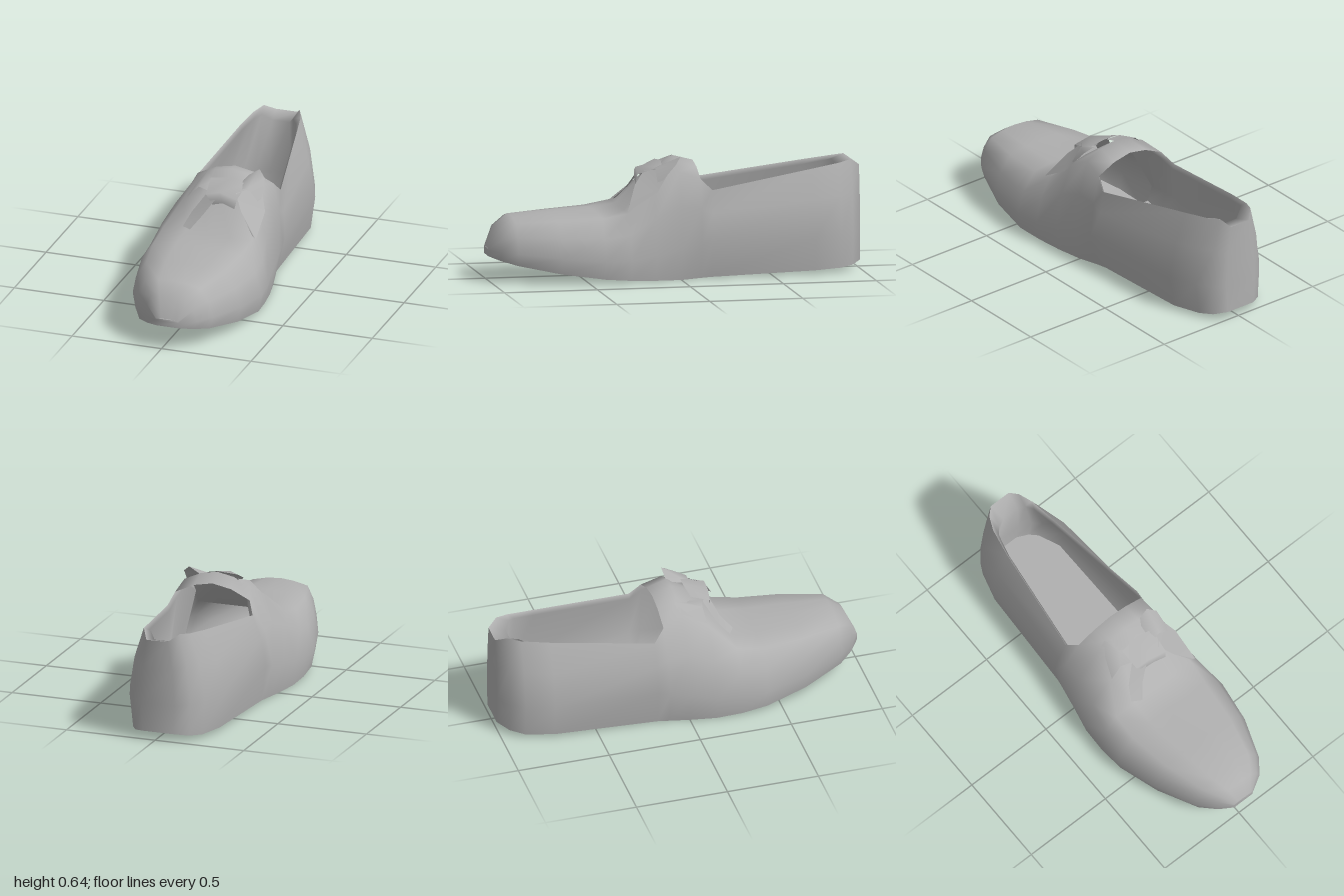
import * as THREE from 'three';
import { mergeGeometries, mergeVertices } from 'three/addons/utils/BufferGeometryUtils.js';

// Cross-sections from heel to toe:
// z, sole y, sole left/right x, widest left/right x and y, rim left/right x and y
const STATIONS = [
  [-1.0, 0.045, -0.1, 0.07, -0.11, 0.08, 0.2, -0.07, 0.05, 0.55],
  [-0.95, 0.03, -0.17, 0.13, -0.18, 0.145, 0.2, -0.12, 0.08, 0.585],
  [-0.88, 0.022, -0.22, 0.17, -0.235, 0.19, 0.2, -0.15, 0.11, 0.572],
  [-0.73, 0.02, -0.26, 0.22, -0.28, 0.245, 0.2, -0.175, 0.14, 0.55],
  [-0.17, 0.005, -0.28, 0.23, -0.305, 0.275, 0.2, -0.23, 0.25, 0.47],
  [-0.11, 0.003, -0.29, 0.24, -0.32, 0.285, 0.19, -0.19, 0.23, 0.53],
  [0.0, 0.0, -0.31, 0.27, -0.34, 0.3, 0.17, -0.15, 0.22, 0.57],
  [0.14, 0.005, -0.34, 0.3, -0.36, 0.315, 0.14, -0.18, 0.22, 0.49],
  [0.28, 0.012, -0.345, 0.32, -0.357, 0.34, 0.12, -0.25, 0.25, 0.36],
  [0.42, 0.025, -0.335, 0.335, -0.35, 0.355, 0.12, -0.25, 0.24, 0.335],
  [0.65, 0.055, -0.27, 0.3, -0.285, 0.32, 0.14, -0.21, 0.22, 0.325],
  [0.87, 0.095, -0.17, 0.22, -0.19, 0.24, 0.16, -0.14, 0.17, 0.315],
  [0.95, 0.115, -0.1, 0.16, -0.11, 0.18, 0.16, -0.08, 0.12, 0.27],
  [1.0, 0.13, -0.03, 0.09, -0.035, 0.095, 0.16, -0.03, 0.08, 0.17],
];

// Height of the top surface above the rim, along z
const CROWN = [[-0.11, 0.07], [0, 0.06], [0.14, 0.035], [0.28, 0], [0.42, 0.015], [0.87, 0.025], [1, 0.004]];
function crownAt(z) {
  for (let i = 1; i < CROWN.length; i++) {
    const [z0, c0] = CROWN[i - 1], [z1, c1] = CROWN[i];
    if (z <= z1) return THREE.MathUtils.mapLinear(z, z0, z1, c0, c1);
  }
  return 0;
}

// Surface through rows of points, optionally closed from last row to first
function grid(rows, closed = false) {
  const n = rows[0].length, index = [];
  const last = closed ? rows.length : rows.length - 1;
  for (let i = 0; i < last; i++) {
    const k = (i + 1) % rows.length;
    for (let j = 0; j < n - 1; j++) {
      const a = i * n + j, b = k * n + j;
      index.push(a, a + 1, b, b, a + 1, b + 1);
    }
  }
  const g = new THREE.BufferGeometry();
  g.setAttribute('position', new THREE.Float32BufferAttribute(rows.flat(2), 3));
  g.setIndex(index);
  return g;
}

// Outer profile of one side, sole to rim (side 0 = -x, 1 = +x)
function outerProfile(s, side) {
  const [z, ys] = s, yw = s[6], yr = s[9];
  const xs = s[2 + side], xw = s[4 + side], xr = s[7 + side];
  const mix = THREE.MathUtils.lerp;
  return [[xs, ys, z], [xw, yw, z], [mix(xw, xr, 0.34), mix(yw, yr, 0.55), z], [xr, yr, z]];
}

// Inner profile of one side, rim to insole
function innerProfile(s, side) {
  const z = s[0] < -0.8 ? s[0] * 0.55 - 0.36 : s[0];
  const k = side ? -1 : 1;
  return [
    [s[7 + side], s[9], s[0]],
    [s[7 + side] + k * 0.012, s[9] - 0.025, z],
    [s[4 + side] + k * 0.035, s[6] + 0.03, z],
    [s[2 + side] + k * 0.04, 0.09, z],
  ];
}

// Profiles in a loop: up one side to the heel and back along the other
const around = (list, profile) => [
  ...[...list].reverse().map((s) => profile(s, 0)),
  ...list.map((s) => profile(s, 1)),
];

export function createModel() {
  const leather = new THREE.MeshStandardMaterial({ color: 0xb0b0b0, side: THREE.DoubleSide });
  leather.name = 'greyLeather';
  const shoe = new THREE.Group();
  shoe.name = 'shoe';
  const add = (name, geometry) => {
    geometry.computeVertexNormals();
    const mesh = new THREE.Mesh(geometry, leather);
    mesh.name = name;
    shoe.add(mesh);
  };

  // Upper: side walls joined smoothly to the toe and tongue surface
  const walls = grid(around(STATIONS, outerProfile), true);
  const top = grid(STATIONS.filter((s) => s[0] > -0.15).map((s) =>
    [1, 0.75, 0.5, 0.25, 0].map((t) => [
      THREE.MathUtils.lerp(s[7], s[8], t),
      s[9] + crownAt(s[0]) * Math.sin(Math.PI * t),
      s[0],
    ])));
  add('upper', mergeVertices(mergeGeometries([walls, top])));

  // Sole
  add('sole', grid(STATIONS.map((s) => [[s[2], s[1], s[0]], [s[3], s[1], s[0]]])));

  // Lining and insole
  const inside = STATIONS.filter((s) => s[0] < 0.2);
  add('lining', grid(around(inside, innerProfile)));
  add('insole', grid(inside.map((s) => [innerProfile(s, 1)[3], innerProfile(s, 0)[3]])));

  // Folded lace pieces over the tongue
  add('laceEarRight', grid([
    [[-0.17, 0.52, 0.0], [-0.18, 0.48, 0.14]],
    [[-0.09, 0.612, -0.02], [-0.1, 0.56, 0.13]],
    [[-0.04, 0.575, 0.04], [-0.03, 0.55, 0.15]],
  ]));
  add('laceEarLeft', grid([
    [[0.12, 0.6, 0.0], [0.11, 0.57, 0.13]],
    [[0.19, 0.645, -0.01], [0.17, 0.585, 0.12]],
    [[0.23, 0.61, 0.02], [0.24, 0.5, 0.12]],
  ]));
  add('laceStrap', grid([
    [[-0.05, 0.6, 0.08], [0.06, 0.61, 0.07], [0.15, 0.59, 0.08]],
    [[-0.04, 0.55, 0.19], [0.04, 0.575, 0.2], [0.14, 0.55, 0.21]],
    [[0.0, 0.5, 0.2], [0.06, 0.52, 0.21], [0.13, 0.5, 0.22]],
  ]));
  add('laceFlapLeft', grid([
    [[0.22, 0.58, 0.05], [0.12, 0.57, 0.17]],
    [[0.27, 0.47, 0.13], [0.17, 0.5, 0.23]],
    [[0.275, 0.375, 0.29], [0.25, 0.39, 0.28]],
  ]));
  add('laceEndRight', grid([
    [[-0.04, 0.55, 0.15], [0.03, 0.55, 0.19]],
    [[-0.11, 0.45, 0.21], [-0.04, 0.45, 0.24]],
    [[-0.14, 0.385, 0.27], [-0.09, 0.385, 0.3]],
  ]));
  return shoe;
}
